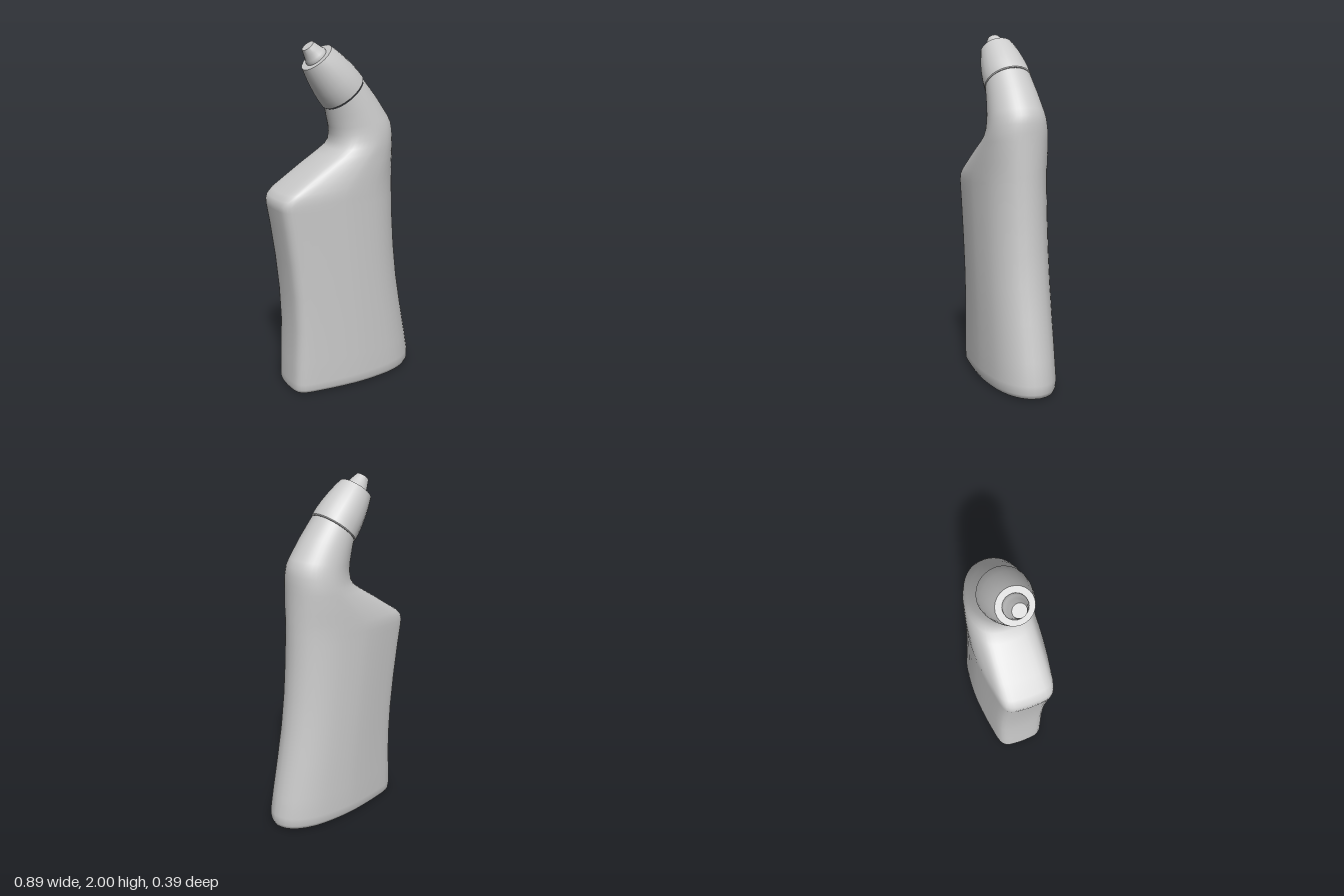
import * as THREE from 'three';
import { toCreasedNormals } from 'three/addons/utils/BufferGeometryUtils.js';

const HALF = 22; // steps along half of a cross-section

// Half outline of the flat body: blunt on the left end, elliptical on the right
const outline = new THREE.CatmullRomCurve3([
  [-1, 0], [-0.995, 0.25], [-0.98, 0.5], [-0.94, 0.66], [-0.86, 0.77], [-0.68, 0.85], [-0.4, 0.94],
  [-0.1, 1], [0.1, 1], [0.33, 0.965], [0.55, 0.89], [0.74, 0.74], [0.88, 0.54], [0.965, 0.3], [1, 0],
].map(([u, w]) => new THREE.Vector3(u, w, 0)), false, 'centripetal');

// Each section: left x, y, right x, y, half depth, roundness (0 body outline, 1 ellipse)
const sections = [
  [-0.365, 0, 0.42, 0, 0.165, 0],
  [-0.38, 0.006, 0.435, 0.006, 0.18, 0],
  [-0.385, 0.025, 0.445, 0.03, 0.192, 0],
  [-0.385, 0.06, 0.446, 0.08, 0.195, 0],
  [-0.38, 0.2, 0.424, 0.2, 0.195, 0],
  [-0.372, 0.4, 0.384, 0.4, 0.195, 0],
  [-0.38, 0.6, 0.348, 0.6, 0.195, 0],
  [-0.4, 0.8, 0.324, 0.8, 0.195, 0],
  [-0.428, 1.0, 0.31, 1.0, 0.195, 0],
  [-0.447, 1.11, 0.306, 1.12, 0.195, 0],
  [-0.449, 1.14, 0.304, 1.17, 0.195, 0],
  [-0.44, 1.17, 0.303, 1.21, 0.195, 0],
  [-0.41, 1.2, 0.302, 1.25, 0.193, 0],
  [-0.33, 1.252, 0.3, 1.3, 0.19, 0.05],
  [-0.23, 1.318, 0.298, 1.36, 0.184, 0.15],
  [-0.14, 1.376, 0.296, 1.41, 0.178, 0.35],
  [-0.09, 1.412, 0.295, 1.45, 0.174, 0.55],
  [-0.073, 1.445, 0.293, 1.5, 0.168, 0.72],
  [-0.071, 1.485, 0.285, 1.545, 0.163, 0.85],
  [-0.077, 1.525, 0.265, 1.583, 0.157, 0.95],
  [-0.09, 1.58, 0.19, 1.69, 0.146, 1],
  [-0.1, 1.63, 0.1, 1.8, 0.135, 1],
];

// Closed ring of points for one section
function ring([lx, ly, rx, ry, depth, round]) {
  const pts = [];
  for (let i = 0; i < HALF * 2; i++) {
    const t = (i <= HALF ? i : HALF * 2 - i) / HALF;
    const p = outline.getPoint(t);
    const u = THREE.MathUtils.lerp(p.x, -Math.cos(Math.PI * t), round);
    const w = THREE.MathUtils.lerp(Math.max(p.y, 0), Math.sin(Math.PI * t), round);
    const s = (u + 1) / 2;
    pts.push(lx + (rx - lx) * s, ly + (ry - ly) * s, (i <= HALF ? 1 : -1) * w * depth);
  }
  return pts;
}

// Skin joining all the rings
function loft() {
  const n = HALF * 2, index = [];
  for (let r = 0; r < sections.length - 1; r++) {
    for (let i = 0; i < n; i++) {
      const a = r * n + i, b = r * n + (i + 1) % n;
      index.push(a, b, b + n, a, b + n, a + n);
    }
  }
  const geo = new THREE.BufferGeometry();
  geo.setAttribute('position', new THREE.Float32BufferAttribute(sections.flatMap(ring), 3));
  geo.setIndex(index);
  geo.computeVertexNormals();
  return geo;
}

// Flat underside
function baseGeometry() {
  const flat = ring(sections[0]), pts = [];
  for (let i = 0; i < flat.length; i += 3) pts.push(new THREE.Vector2(flat[i], flat[i + 2]));
  return new THREE.ShapeGeometry(new THREE.Shape(pts)).rotateX(Math.PI / 2);
}

function turned(profile) {
  const geo = new THREE.LatheGeometry(profile.map(([r, y]) => new THREE.Vector2(r, y)), 24);
  return toCreasedNormals(geo, 0.6);
}

export function createModel() {
  const model = new THREE.Group();
  const material = new THREE.MeshStandardMaterial({ color: 0xcccccc });
  const add = (parent, name, geo) => {
    const mesh = new THREE.Mesh(geo, material);
    mesh.name = name;
    parent.add(mesh);
  };

  add(model, 'bottleBody', loft());
  add(model, 'bottleBase', baseGeometry());

  // Tilted cap and nozzle, sharing the axis of the neck
  const top = new THREE.Group();
  top.name = 'capAssembly';
  top.position.set(0, 1.715, 0);
  top.rotation.z = 0.697;
  add(top, 'cap', turned([
    [0, 0.003], [0.134, 0.003], [0.138, 0.008], [0.137, 0.05], [0.132, 0.1],
    [0.122, 0.16], [0.11, 0.215], [0.098, 0.257], [0, 0.257],
  ]));
  add(top, 'nozzle', turned([
    [0.064, 0.25], [0.064, 0.268], [0.058, 0.278], [0.049, 0.305], [0.037, 0.338], [0, 0.338],
  ]));
  model.add(top);
  return model;
}
